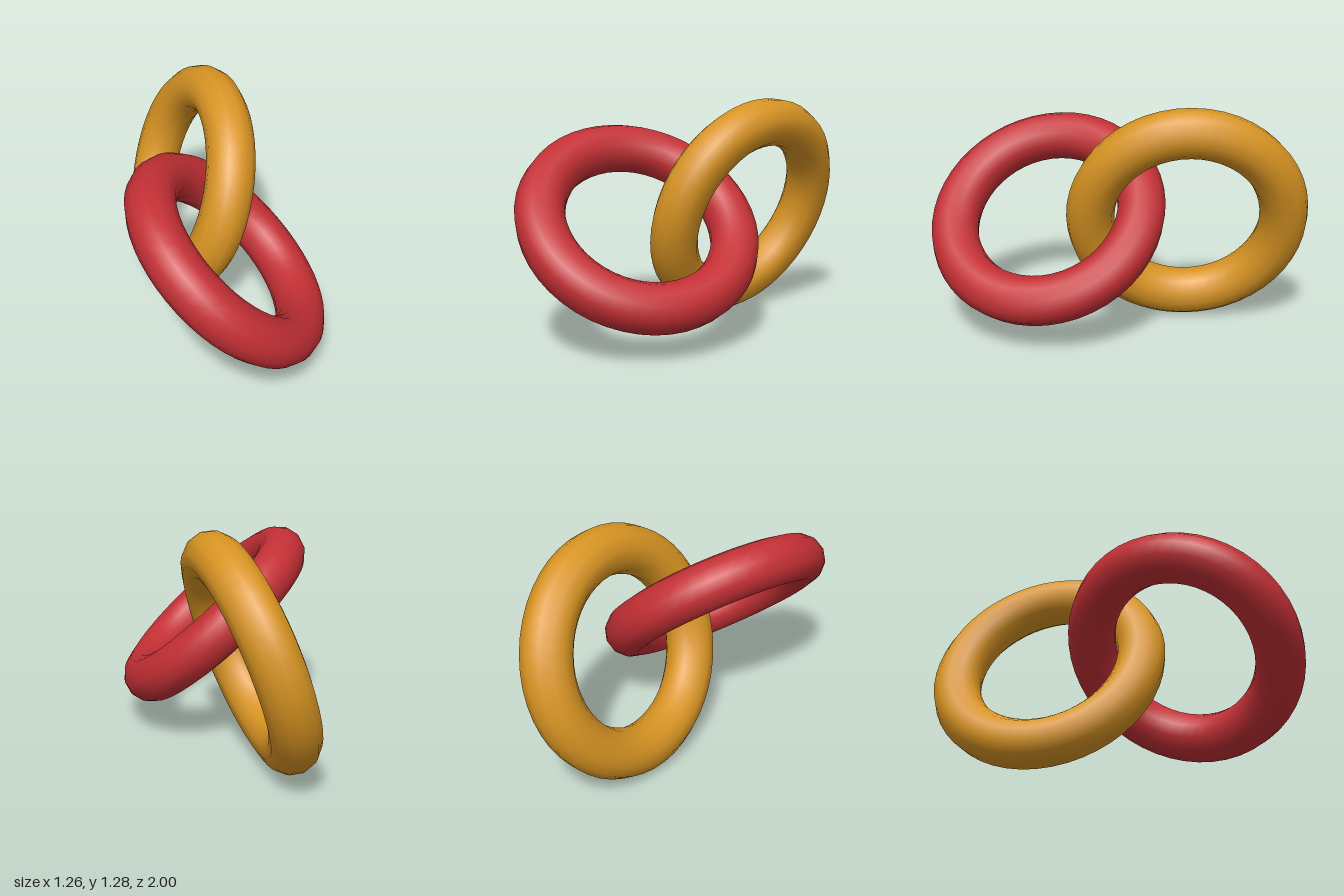
import * as THREE from 'three';

const RING_RADIUS = 0.536;
const TUBE_RADIUS = 0.134;

// One smooth chain link: a torus whose axis points along the given normal
function link(name, color, center, normal) {
  const mesh = new THREE.Mesh(
    new THREE.TorusGeometry(RING_RADIUS, TUBE_RADIUS, 12, 48),
    new THREE.MeshStandardMaterial({ color })
  );
  mesh.name = name;
  mesh.position.set(...center);
  mesh.quaternion.setFromUnitVectors(
    new THREE.Vector3(0, 0, 1),
    new THREE.Vector3(...normal).normalize()
  );
  return mesh;
}

export function createModel() {
  const group = new THREE.Group();
  group.name = 'interlockedRings';
  // Front link leans to the left, back link stands upright through it
  group.add(link('redRing', 0xc43035, [0.101, 0.645, 0.333], [0.671, 0.735, -0.1]));
  group.add(link('goldRing', 0xd89423, [-0.216, 0.645, -0.378], [0.847, -0.32, -0.424]));
  return group;
}
